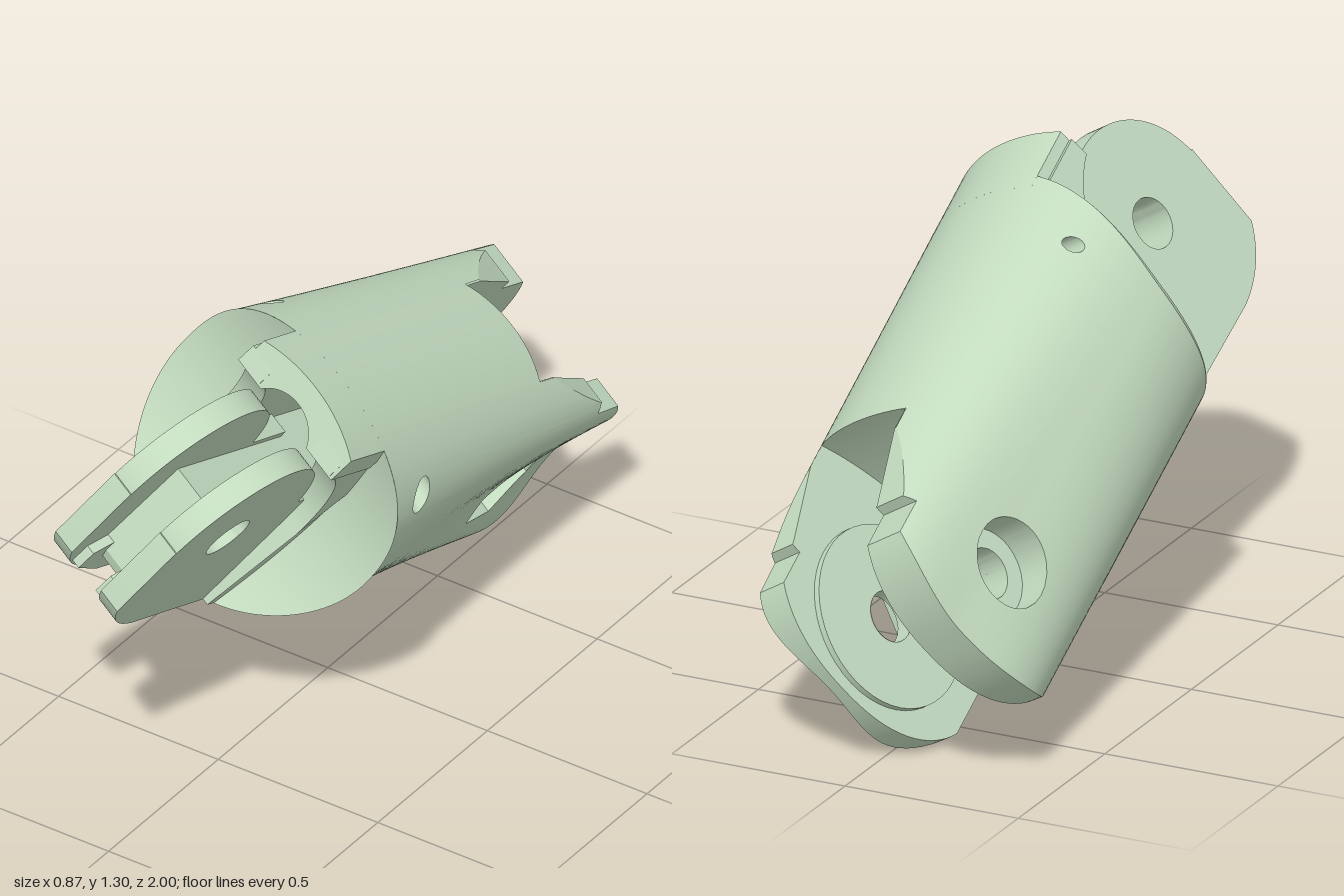
import * as THREE from 'three';
import { toCreasedNormals } from 'three/addons/utils/BufferGeometryUtils.js';

// Local frame: x along the hinge pins, y up through the body, z forward along the body.
// The origin is the front hinge; the rear hinge sits at z = REAR.
const REAR = -1.4, BOTTOM = -0.34, TOP = 0.43, SLOT = 0.16, SLOT_TOP = 0.401, PIN = 0.07;

// Body half width at height u and length a, on side s
const reach = (s) => (s > 0 ? 0.386 : 0.4);
function width(u, a, s) {
  const d = u - 0.03, q = Math.min(1, Math.abs(d) / 0.4);
  const w = d > 0
    ? Math.sqrt(Math.max(0, 1 - Math.pow(q, 2.5)))
    : Math.sqrt(1 - (d / 0.41) ** 2);
  const taper = (s > 0 ? 0.17 : 0.085) * (-a - 0.35) / 1.2;
  return w * reach(s) - taper * (1 - q * q) ** 2;
}
const frontEnd = (u) => -0.415 + 0.75 * (u + 0.08) ** 2;
const slotFloor = (u) => -1.06 - 0.5 * Math.max(0, u) ** 2;
function rearEnd(u) {
  if (u > SLOT_TOP) return slotFloor(u);
  if (u > 0.34) return -1.2 - (0.405 - u) * 3.9;
  if (u > 0.31) return -1.46;
  return REAR - 0.285 * Math.sqrt(1 - Math.pow(Math.abs(u - 0.01) / 0.37, 2.3));
}

// Openings: centre (x along the row, u height), reach in u, half width at offset d
const round = (x, u, r) => ({ x, u, r, half: (d) => Math.sqrt(Math.max(0, r * r - d * d)) });
const hexHole = { x: REAR, u: 0, r: 0.122, half: (d) => 0.141 - Math.abs(d) / Math.sqrt(3) };
const boltHole = round(REAR, 0, 0.122);
const pinHole = round(REAR, 0, PIN);
const cordHoles = { 1: round(-0.46, 0.28, 0.042), '-1': round(-0.46, 0.28, 0.025) };
const channel = {
  x: 0, u: 0.215, r: 0.145,
  half: (d) => (d > 0.035 ? Math.sqrt(Math.max(0, 0.0121 - (d - 0.035) ** 2)) : 0.11),
};

// Heights of all surface rows, refined around the openings
function makeRows() {
  const rows = [BOTTOM, TOP];
  for (const step of [0.31, 0.34, SLOT_TOP]) rows.push(step - 1e-4, step + 1e-4);
  for (let i = 0; i <= 56; i++) {
    const u = 0.03 - 0.4 * Math.cos((i / 56) * Math.PI);
    if (u > BOTTOM) rows.push(u);
  }
  for (const h of [hexHole, boltHole, pinHole, cordHoles[1], cordHoles[-1], channel]) {
    for (let i = 0; i <= 12; i++) rows.push(h.u + h.r * Math.sin((i / 12 - 0.5) * Math.PI));
  }
  return rows.sort((p, q) => p - q).filter((u, i, all) => i === 0 || u - all[i - 1] > 1e-5);
}
const ROWS = makeRows();

function quad(out, a, b, c, d, flip) {
  if (flip) out.push(...a, ...c, ...b, ...a, ...d, ...c);
  else out.push(...a, ...b, ...c, ...a, ...c, ...d);
}

// Surface made of rows running from lo(u) to hi(u), leaving the holes open
function face(out, { lo, hi, at, holes = [], from = BOTTOM, to = TOP, flip = false, n = 4 }) {
  const rows = ROWS.filter((u) => u >= from - 1e-6 && u <= to + 1e-6);
  for (let i = 0; i + 1 < rows.length; i++) {
    const u = rows[i], v = rows[i + 1], mid = (u + v) / 2;
    const h = holes.find((k) => Math.abs(mid - k.u) < k.r);
    const edge = (w, side) => h.x + side * h.half(w - h.u);
    const spans = h
      ? [[lo(u), edge(u, -1), lo(v), edge(v, -1)], [edge(u, 1), hi(u), edge(v, 1), hi(v)]]
      : [[lo(u), hi(u), lo(v), hi(v)]];
    for (const [p, q, r, s] of spans) {
      for (let j = 0; j < n; j++) {
        const f = j / n, g = (j + 1) / n;
        quad(out, at(u, p + (q - p) * f), at(u, p + (q - p) * g),
          at(v, r + (s - r) * g), at(v, r + (s - r) * f), flip);
      }
    }
  }
}

// Walls and floor of an opening, between the two surfaces rim and floor
function recess(out, hole, rim, floor, inner) {
  const rows = ROWS.filter((u) => Math.abs(u - hole.u) <= hole.r + 1e-6);
  const x = (u, side) => hole.x + side * hole.half(u - hole.u);
  for (let i = 0; i + 1 < rows.length; i++) {
    const u = rows[i], v = rows[i + 1];
    for (const s of [-1, 1]) {
      quad(out, rim(u, x(u, s)), rim(v, x(v, s)), floor(v, x(v, s)), floor(u, x(u, s)), s > 0);
    }
  }
  for (const u of [rows[0], rows[rows.length - 1]]) {
    quad(out, rim(u, x(u, -1)), rim(u, x(u, 1)), floor(u, x(u, 1)), floor(u, x(u, -1)), false);
  }
  face(out, {
    lo: (u) => x(u, -1), hi: (u) => x(u, 1), at: floor, holes: inner ? [inner] : [],
    from: rows[0], to: rows[rows.length - 1], n: 1,
  });
}

function bodyGeometry() {
  const out = [];
  for (const s of [1, -1]) {
    const bolt = s > 0 ? hexHole : boltHole, cord = cordHoles[s];
    const skin = (u, a) => [s * width(u, a, s), u, a];
    const flat = (h) => (u, a) => [s * h, u, a];
    const seat = flat(s > 0 ? 0.19 : 0.23);
    // outer skin, rounded cheek edge and inner cheek wall
    face(out, { lo: rearEnd, hi: frontEnd, at: skin, holes: [bolt, cord], flip: s < 0, n: 8 });
    face(out, {
      lo: () => SLOT, hi: (u) => Math.max(SLOT, width(u, rearEnd(u), s)),
      at: (u, h) => [s * h, u, rearEnd(u)], to: SLOT_TOP, flip: s > 0, n: 1,
    });
    face(out, { lo: rearEnd, hi: slotFloor, at: flat(SLOT), holes: [pinHole], to: SLOT_TOP, flip: s > 0 });
    // bolt seat, pin bore and cord hole
    recess(out, bolt, skin, seat, pinHole);
    recess(out, pinHole, seat, flat(0.14), pinHole);
    recess(out, cord, skin, flat(0.12));
  }
  // floor of the rear slot
  face(out, {
    lo: (u) => -Math.min(SLOT, width(u, -1.1, -1)), hi: (u) => Math.min(SLOT, width(u, -1.1, 1)),
    at: (u, h) => [h, u, slotFloor(u)], flip: true, n: 2,
  });
  // scooped front with the cord channel
  const front = (u, h) => [h, u, frontEnd(u)];
  face(out, { lo: (u) => -width(u, -0.3, -1), hi: (u) => width(u, -0.3, 1), at: front, holes: [channel] });
  recess(out, channel, front, (u, h) => [h, u, -0.75]);
  // flat underside
  const l = -width(BOTTOM, -0.3, -1), w = width(BOTTOM, -0.3, 1);
  const f = frontEnd(BOTTOM), r = slotFloor(BOTTOM);
  quad(out, [l, BOTTOM, r], [w, BOTTOM, r], [w, BOTTOM, f], [l, BOTTOM, f], false);
  const geo = new THREE.BufferGeometry();
  geo.setAttribute('position', new THREE.Float32BufferAttribute(out, 3));
  return toCreasedNormals(geo, 0.6);
}

// Extrude a (z, y) side shape across x, centred on x = cx
function sideExtrude(shape, thickness, cx) {
  const geo = new THREE.ExtrudeGeometry(shape, { depth: thickness, bevelEnabled: false, curveSegments: 24 });
  geo.rotateY(-Math.PI / 2).translate(cx + thickness / 2, 0, 0);
  return toCreasedNormals(geo, 0.5);
}
function bore(shape, r, x = 0) {
  shape.holes.push(new THREE.Path().absarc(x, 0, r, 0, Math.PI * 2, true));
  return shape;
}

export function createModel() {
  const green = new THREE.MeshStandardMaterial({ color: 0xc3dbbf, side: THREE.DoubleSide });
  green.name = 'pale green';
  const part = new THREE.Group();
  part.name = 'fingerSegment';
  const add = (name, geo) => {
    const mesh = new THREE.Mesh(geo, green);
    mesh.name = name;
    part.add(mesh);
  };

  add('body', bodyGeometry());

  // Front hinge plates
  const plate = new THREE.Shape();
  plate.moveTo(-0.44, BOTTOM).lineTo(0.04, BOTTOM - 0.01);
  plate.quadraticCurveTo(0.18, -0.34, 0.263, -0.25);
  plate.lineTo(0.285, 0).absarc(0, 0, 0.28, 0, Math.PI * 0.9, false);
  plate.lineTo(-0.44, 0.09);
  bore(plate, PIN);
  const MID = 0.012; // middle of the slot between the plates
  add('leftHingePlate', sideExtrude(plate, 0.07, MID + 0.098));
  add('rightHingePlate', sideExtrude(plate, 0.07, MID - 0.098));

  // Web between the plates, with a cord groove along its underside
  const web = new THREE.Shape();
  web.moveTo(-0.44, -0.28).lineTo(0.1, -0.27).lineTo(0.12, -0.24).lineTo(0.12, 0.07).lineTo(-0.44, 0.07);
  add('hingeWeb', sideExtrude(bore(web, PIN), 0.13, MID));
  const rail = new THREE.Shape();
  rail.moveTo(-0.44, BOTTOM).lineTo(0.04, BOTTOM).lineTo(0.19, -0.3).lineTo(0.19, -0.24).lineTo(0.1, -0.2).lineTo(-0.44, -0.26);
  for (const s of [1, -1]) add('grooveRail', sideExtrude(rail, 0.03, MID + s * 0.052));

  // Collars hugging the hinge plates, one on each side of the channel
  const collar = new THREE.Shape();
  collar.moveTo(-0.46, BOTTOM).lineTo(-0.33, BOTTOM).lineTo(-0.31, 0);
  collar.absarc(0, 0, 0.31, Math.PI, Math.PI * 0.575, true);
  collar.lineTo(-0.075, 0.36).lineTo(-0.46, 0.36);
  for (const s of [1, -1]) {
    const geo = sideExtrude(collar, 0.085, s * 0.1525);
    // tuck the lower corners in to the flat underside
    const p = geo.attributes.position;
    for (let i = 0; i < p.count; i++) {
      if (p.getY(i) < -0.3 && Math.abs(p.getX(i)) > 0.16) p.setX(i, s * 0.165);
    }
    add('hingeCollar', geo);
  }

  // Arched lip over the front hinge
  const lip = new THREE.Shape();
  lip.moveTo(0.205, 0.3);
  for (let i = 0; i <= 16; i++) {
    const h = 0.205 - (i / 16) * 0.39;
    lip.lineTo(h, 0.03 + 0.4 * Math.pow(1 - (h / reach(h)) ** 2, 0.4));
  }
  lip.lineTo(-0.185, 0.3);
  const arch = Math.asin(0.05 / 0.11);
  lip.absarc(0, 0.25, 0.11, Math.PI - arch, arch, true);
  const lipGeo = new THREE.ExtrudeGeometry(lip, { depth: 0.215, bevelEnabled: false, curveSegments: 20 });
  add('frontLip', toCreasedNormals(lipGeo.translate(0, 0, -0.29), 0.5));

  // Raised bosses on the inner cheek walls
  const boss = bore(new THREE.Shape().absarc(REAR, 0, 0.25, 0, Math.PI * 2, false), PIN, REAR);
  for (const s of [1, -1]) add('cheekBoss', sideExtrude(boss, 0.02, s * 0.152));

  // Tilt and roll into the resting pose, with the front hinge at its place
  part.applyMatrix4(new THREE.Matrix4().makeBasis(
    new THREE.Vector3(0.835, -0.527, 0.16).normalize(),
    new THREE.Vector3(0.547, 0.761, -0.349).normalize(),
    new THREE.Vector3(0.062, 0.379, 0.923).normalize()).setPosition(0.025, 0.925, 0.645));
  const model = new THREE.Group();
  model.name = 'model';
  model.add(part);
  return model;
}
